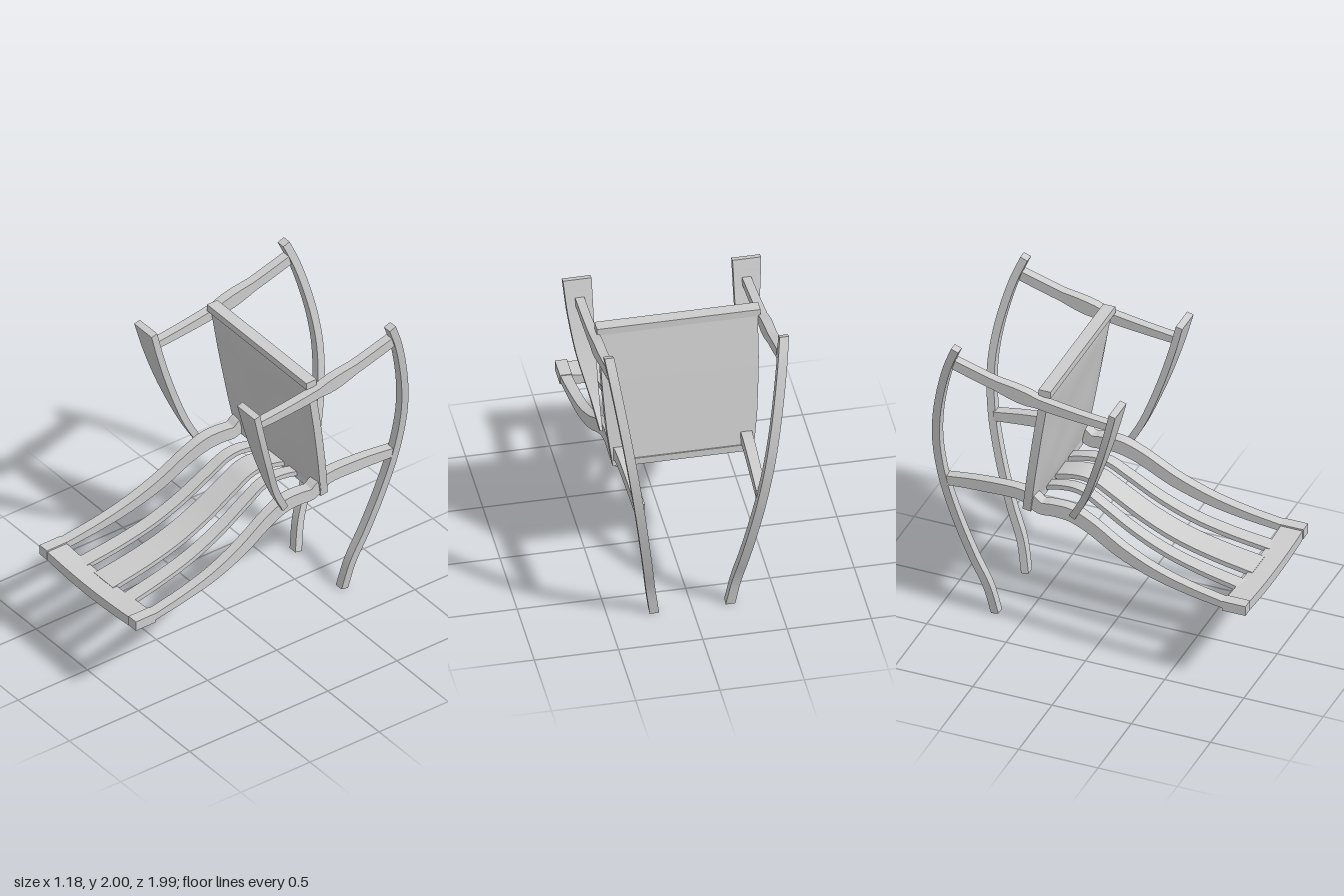
import * as THREE from 'three';

// Rectangular bar swept along stations [x, y, z, halfWidth, halfThickness];
// width runs along x, thickness lies across the path in the yz plane.
function barGeometry(stations, side = 1, steps = 5) {
  const path = new THREE.CatmullRomCurve3(stations.map(s => new THREE.Vector3(side * s[0], s[1], s[2])));
  const size = new THREE.CatmullRomCurve3(stations.map(s => new THREE.Vector3(s[3], s[4], 0)));
  const count = (stations.length - 1) * steps;
  const rings = [];
  for (let i = 0; i <= count; i++) {
    const u = i / count;
    const p = path.getPoint(u), t = path.getTangent(u), s = size.getPoint(u);
    const n = new THREE.Vector3(0, t.z, -t.y).normalize();
    rings.push([[1, 1], [-1, 1], [-1, -1], [1, -1]].map(([a, b]) =>
      new THREE.Vector3(p.x + a * s.x, p.y, p.z).addScaledVector(n, b * s.y)));
  }
  const pos = [], idx = [];
  const add = v => pos.push(v.x, v.y, v.z) / 3 - 1;
  // Four separate strips keep the long edges sharp
  for (let k = 0; k < 4; k++) {
    rings.forEach((r, i) => {
      const a = add(r[k]), b = add(r[(k + 1) % 4]);
      if (i < count) idx.push(a, b, a + 2, b, b + 2, a + 2);
    });
  }
  // End caps
  const e = rings[count].map(add);
  idx.push(e[0], e[1], e[2], e[0], e[2], e[3]);
  const b = rings[0].map(add);
  idx.push(b[0], b[2], b[1], b[0], b[3], b[2]);
  const g = new THREE.BufferGeometry();
  g.setAttribute('position', new THREE.Float32BufferAttribute(pos, 3));
  g.setIndex(idx);
  g.computeVertexNormals();
  return g;
}

export function createModel() {
  const model = new THREE.Group();
  model.name = 'chair';
  const grey = new THREE.MeshStandardMaterial({ color: 0xcccccc });
  grey.name = 'light grey';

  const put = (name, geometry) => {
    const m = new THREE.Mesh(geometry, grey);
    m.name = name;
    model.add(m);
    return m;
  };
  const box = (name, w, h, d, x, y, z) =>
    put(name, new THREE.BoxGeometry(w, h, d)).position.set(x, y, z);

  // Curved runner, leaning outward as it rises
  const runner = [[-0.675, 0.004], [-0.715, 0.2], [-0.795, 0.41], [-0.885, 0.7], [-0.945, 0.97],
    [-0.968, 1.24], [-0.953, 1.45], [-0.913, 1.66], [-0.86, 1.85], [-0.805, 1.99]]
    .map(([z, y]) => [0.225 + 0.148 * y, y, z, 0.028, 0.024]);

  // Long side rail: from the runner, over the hip, down to the crest
  const sideRail = [
    [0.36, 0.955, -0.93, 0.03, 0.03], [0.367, 0.98, -0.7, 0.031, 0.037],
    [0.376, 0.99, -0.45, 0.033, 0.038], [0.38, 0.97, -0.385, 0.036, 0.044],
    [0.38, 0.932, -0.325, 0.036, 0.04], [0.38, 0.937, -0.25, 0.036, 0.041],
    [0.381, 0.933, -0.14, 0.035, 0.044], [0.387, 0.887, -0.02, 0.032, 0.042],
    [0.402, 0.768, 0.19, 0.032, 0.039], [0.416, 0.684, 0.4, 0.032, 0.033],
    [0.426, 0.63, 0.62, 0.032, 0.027], [0.436, 0.59, 0.87, 0.033, 0.022]];

  // Bar joining arm panel and runner
  const armBar = [[0.495, 1.685, 0.155, 0.027, 0.024], [0.498, 1.705, -0.05, 0.027, 0.028],
    [0.5, 1.74, -0.3, 0.028, 0.033], [0.502, 1.8, -0.56, 0.028, 0.033], [0.503, 1.877, -0.82, 0.028, 0.032]];

  // Tapering arm panel: straight inner edge, curved outer edge
  const armPanel = [[0.93, -0.115, 0.432], [1.1, -0.025, 0.468], [1.37, 0.078, 0.535],
    [1.62, 0.155, 0.572], [1.815, 0.205, 0.588]]
    .map(([y, z, outer]) => [(outer + 0.418) / 2, y, z, (outer - 0.418) / 2, 0.021]);

  for (const [label, s] of [['left', 1], ['right', -1]]) {
    put(`${label} runner`, barGeometry(runner, s));
    put(`${label} side rail`, barGeometry(sideRail, s));
    put(`${label} arm bar`, barGeometry(armBar, s));
    put(`${label} arm panel`, barGeometry(armPanel, s));
    box(`${label} crest end`, 0.072, 0.064, 0.146, s * 0.435, 0.588, 0.924);
  }

  // Slats, following the side rails
  const slatPath = [[-0.39, 0.925], [-0.3, 0.95], [-0.2, 0.962], [-0.12, 0.945], [-0.02, 0.89],
    [0.19, 0.77], [0.4, 0.682], [0.62, 0.625], [0.88, 0.58]];
  for (const [name, xBack, xFront, wBack, wFront] of [
    ['centre slat', 0, 0, 0.072, 0.092],
    ['left slat', 0.16, 0.222, 0.034, 0.048],
    ['right slat', -0.16, -0.222, 0.034, 0.048]]) {
    put(name, barGeometry(slatPath.map(([z, y]) => {
      const u = (z + 0.39) / 1.27;
      return [THREE.MathUtils.lerp(xBack, xFront, u), y, z, THREE.MathUtils.lerp(wBack, wFront, u), 0.015];
    })));
  }

  // Bowed crest rail
  const crest = new THREE.Shape();
  crest.moveTo(-0.468, 0.558);
  crest.quadraticCurveTo(0, 0.494, 0.468, 0.558);
  crest.lineTo(0.468, 0.617);
  crest.quadraticCurveTo(0, 0.565, -0.468, 0.617);
  put('crest rail', new THREE.ExtrudeGeometry(crest, { depth: 0.14, bevelEnabled: false, curveSegments: 20 })
    .translate(0, 0, 0.852));

  // Seat board, with rails at both ends
  put('seat board', barGeometry([[0, 0.9, -0.405, 0.418, 0.026], [0, 1.15, -0.367, 0.447, 0.026],
    [0, 1.5, -0.312, 0.467, 0.026], [0, 1.79, -0.266, 0.47, 0.026]]));
  box('seat front rail', 0.97, 0.045, 0.075, 0, 1.79, -0.263);
  box('seat back rail', 0.8, 0.045, 0.06, 0, 0.918, -0.402);

  // Softly dented cushion surface
  const cushion = new THREE.PlaneGeometry(2, 1, 36, 36);
  const p = cushion.attributes.position;
  for (let i = 0; i < p.count; i++) {
    const u = p.getX(i), v = p.getY(i) + 0.5;
    const edge = (1 - u ** 6) * (1 - (2 * v - 1) ** 6);
    const dent = 0.004 * Math.sin(5 * u + 2) * Math.cos(9 * v) - 0.008 * Math.exp(-((u * 4) ** 2) - ((v - 0.65) * 5) ** 2);
    p.setXYZ(i, u * (0.415 + 0.052 * Math.sqrt(v)), 0.905 + 0.9 * v, -0.381 + 0.146 * v + edge * (0.016 + dent));
  }
  cushion.computeVertexNormals();
  put('seat cushion', cushion);

  return model;
}
